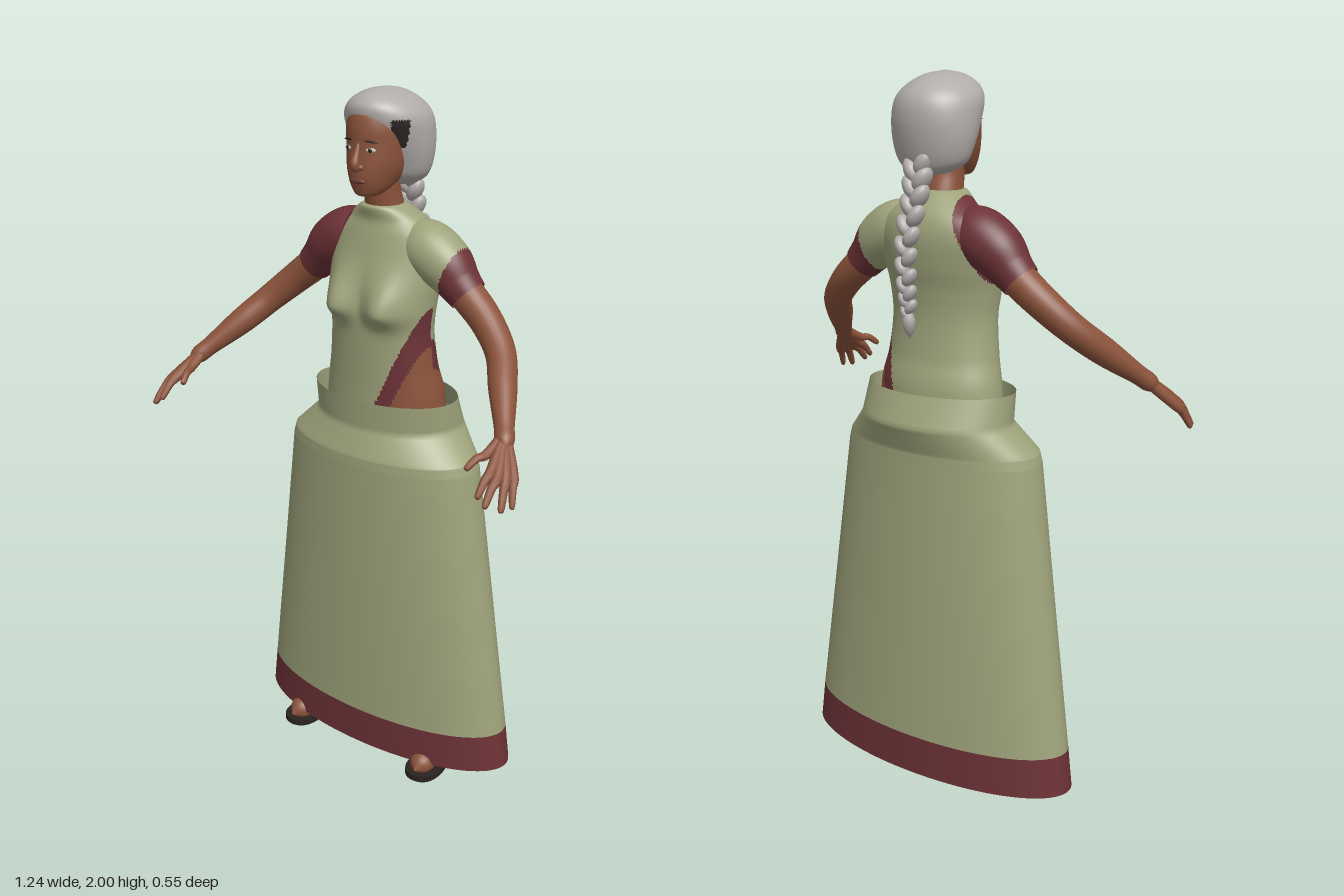
import * as THREE from 'three';

const mat = (name, color, side = THREE.FrontSide) => {
  const m = new THREE.MeshStandardMaterial({ color, side });
  m.name = name;
  return m;
};
const V = (x, y, z) => new THREE.Vector3(x, y, z);

// Closed tube of rows x cols from a point rule; paint(point) picks the material of each face.
function surface(name, point, rows, cols, mats, paint = () => 0) {
  const pos = [], buckets = mats.map(() => []);
  for (let i = 0; i <= rows; i++)
    for (let j = 0; j < cols; j++) pos.push(...point(i / rows, (j / cols) * Math.PI * 2).toArray());
  const at = (k) => V(pos[k * 3], pos[k * 3 + 1], pos[k * 3 + 2]);
  for (let i = 0; i < rows; i++)
    for (let j = 0; j < cols; j++) {
      const a = i * cols + j, b = i * cols + ((j + 1) % cols), c = a + cols, d = b + cols;
      for (const tri of [[a, b, d], [a, d, c]]) {
        const mid = at(tri[0]).add(at(tri[1])).add(at(tri[2])).divideScalar(3);
        buckets[paint(mid)].push(...tri);
      }
    }
  const g = new THREE.BufferGeometry();
  g.setAttribute('position', new THREE.Float32BufferAttribute(pos, 3));
  g.setIndex(buckets.flat());
  let start = 0;
  buckets.forEach((b, k) => { g.addGroup(start, b.length, k); start += b.length; });
  g.computeVertexNormals();
  const mesh = new THREE.Mesh(g, mats.length > 1 ? mats : mats[0]);
  mesh.name = name;
  return mesh;
}

// Upright loft through oval sections [y, halfWidth, frontZ, backZ].
function loft(name, sections, rows, cols, mats, { paint, straight, shape } = {}) {
  const n = sections.length - 1;
  const a = new THREE.CatmullRomCurve3(sections.map((s) => V(s[1], s[0], 0)), false, 'catmullrom');
  const b = new THREE.CatmullRomCurve3(sections.map((s) => V(s[2], s[3], 0)), false, 'catmullrom');
  const sample = (curve, u) => {
    if (!straight) return curve.getPoint(u);
    const i = Math.min(Math.floor(u * n), n - 1);
    return curve.points[i].clone().lerp(curve.points[i + 1], u * n - i);
  };
  return surface(name, (u, t) => {
    const p = sample(a, u), q = sample(b, u);
    const v = V(p.x * Math.sin(t), p.y, (q.x + q.y) / 2 + ((q.x - q.y) / 2) * Math.cos(t));
    if (shape) shape(v);
    return v;
  }, rows, cols, mats, paint);
}

// Round sweep through points [x, y, z, radius], mirrored by side.
function sweep(name, pts, side, rows, cols, mats, paint) {
  const curve = new THREE.CatmullRomCurve3(pts.map((p) => V(p[0] * side, p[1], p[2])), false, 'catmullrom');
  const radius = new THREE.CatmullRomCurve3(pts.map((p) => V(p[3], 0, 0)), false, 'catmullrom');
  curve.getUtoTmapping = (u) => u;
  const f = curve.computeFrenetFrames(rows, false);
  return surface(name, (u, t) => {
    const i = Math.round(u * rows), r = Math.max(radius.getPoint(u).x, 0.0005);
    return curve.getPoint(u).addScaledVector(f.normals[i], r * Math.cos(t)).addScaledVector(f.binormals[i], r * Math.sin(t));
  }, rows, cols, mats, paint);
}

function blob(name, material, center, size, rot = [0, 0, 0]) {
  const m = new THREE.Mesh(new THREE.SphereGeometry(1, 20, 14), material);
  m.name = name;
  m.position.set(...center);
  m.scale.set(...size);
  m.rotation.set(...rot);
  return m;
}

export function createModel() {
  const model = new THREE.Group();
  model.name = 'womanInDrapedDress';
  const green = mat('sageCloth', 0x9ea37b, THREE.DoubleSide);
  const maroon = mat('maroonCloth', 0x6c3236, THREE.DoubleSide);
  const skin = mat('skin', 0x8b533b);
  const hair = mat('greyHair', 0xb1acaa);
  const dark = mat('darkHair', 0x2c2624);
  const sole = mat('sandalSole', 0x2a2320);
  const lip = mat('lips', 0x6e3d30);
  const white = mat('eyeWhite', 0xc9c0b8);

  // Skirt with a wide hem band and a gathered waist
  model.add(loft('skirtHem', [[0.04, 0.445, 0.07, -0.275], [0.155, 0.43, 0.071, -0.273]], 4, 96, [maroon], { straight: true }));
  model.add(loft('skirt', [
    [0.155, 0.43, 0.071, -0.273], [0.575, 0.37, 0.076, -0.26], [0.97, 0.314, 0.08, -0.247],
    [1.0, 0.305, 0.079, -0.247], [1.075, 0.232, 0.05, -0.274], [1.16, 0.228, 0.055, -0.235],
  ], 40, 96, [green], { straight: true }));

  // Torso with a diagonal drape over the left shoulder and a short blouse beneath
  const drape = (p) => {
    const edge = p.z > -0.08 ? 0.05 + 0.43 * (p.y - 1.16) : 0.09 + 0.4 * (p.y - 1.16);
    if (p.x > edge) return p.y > 1.32 || p.x < edge + 0.045 ? 1 : 2;
    return p.y > 1.38 && p.x < -0.08 - 0.4 * (1.675 - p.y) ? 1 : 0;
  };
  const bust = (v) => {
    if (v.z < -0.06) return;
    const d = ((Math.abs(v.x) - 0.08) / 0.055) ** 2 + ((v.y - 1.42) / (v.y > 1.42 ? 0.085 : 0.04)) ** 2;
    v.z += 0.048 * Math.exp(-d);
  };
  model.add(loft('torso', [
    [1.0, 0.2, 0.03, -0.21], [1.16, 0.188, 0.028, -0.21], [1.25, 0.17, 0.03, -0.19], [1.35, 0.16, 0.033, -0.18],
    [1.43, 0.165, 0.03, -0.185], [1.5, 0.174, 0.02, -0.2], [1.57, 0.178, 0.003, -0.208],
    [1.62, 0.16, -0.01, -0.2], [1.655, 0.115, -0.018, -0.18], [1.69, 0.064, -0.012, -0.145], [1.695, 0.04, -0.03, -0.12],
  ], 110, 128, [green, maroon, skin], { paint: drape, shape: bust }));

  // Arms, sleeves and hands
  const fingers = [
    ['littleFinger', [0.588, 1.135, 0.165, 0.014], [0.615, 1.07, 0.208, 0.007]],
    ['ringFinger', [0.58, 1.135, 0.185, 0.015], [0.602, 1.068, 0.238, 0.008]],
    ['middleFinger', [0.566, 1.14, 0.198, 0.015], [0.574, 1.083, 0.268, 0.008]],
    ['indexFinger', [0.548, 1.15, 0.2, 0.015], [0.549, 1.1, 0.264, 0.008]],
    ['thumb', [0.515, 1.175, 0.175, 0.013], [0.493, 1.15, 0.232, 0.008]],
  ];
  for (const side of [1, -1]) {
    const label = side > 0 ? 'left' : 'right';
    model.add(sweep(label + 'Sleeve', [
      [0.07, 1.6, -0.1, 0.06], [0.13, 1.582, -0.1, 0.078], [0.19, 1.547, -0.1, 0.075],
      [0.235, 1.503, -0.1, 0.06], [0.265, 1.474, -0.1, 0.053],
    ], side, 48, 48, [green, maroon], (p) => (side > 0 && p.x < 0.24 - 0.35 * (1.59 - p.y) ? 0 : 1)));
    model.add(sweep(label + 'Arm', [
      [0.2, 1.535, -0.1, 0.045], [0.26, 1.478, -0.1, 0.048], [0.33, 1.42, -0.09, 0.045], [0.4, 1.355, -0.055, 0.041],
      [0.455, 1.29, 0.015, 0.038], [0.51, 1.225, 0.09, 0.027], [0.535, 1.195, 0.125, 0.024], [0.55, 1.175, 0.15, 0.0],
    ], side, 48, 24, [skin]));
    for (const [name, knuckle, tip] of fingers) {
      const bend = knuckle.map((k, i) => (k + tip[i]) / 2 + (i === 1 ? 0.008 : 0));
      const end = tip.map((k, i) => (i === 3 ? 0 : k + (k - bend[i]) * 0.12));
      model.add(sweep(label + name, [[0.525, 1.208, 0.11, 0.017], knuckle, bend, tip, end], side, 20, 10, [skin]));
    }
  }

  // Neck and head
  model.add(sweep('neck', [[0, 1.62, -0.09, 0.062], [0, 1.68, -0.08, 0.054], [0, 1.73, -0.068, 0.05], [0, 1.8, -0.06, 0.05]], 1, 16, 32, [skin]));
  model.add(loft('head', [
    [1.724, 0.006, 0.006, -0.01], [1.728, 0.03, 0.027, -0.04], [1.745, 0.05, 0.036, -0.08], [1.775, 0.067, 0.044, -0.13],
    [1.81, 0.08, 0.044, -0.16], [1.86, 0.088, 0.04, -0.18], [1.91, 0.088, 0.038, -0.18],
    [1.95, 0.074, 0.02, -0.16], [1.98, 0.02, -0.04, -0.1],
  ], 48, 48, [skin]));
  model.add(sweep('nose', [[0, 1.87, 0.033, 0.006], [0, 1.84, 0.044, 0.009], [0, 1.815, 0.052, 0.013], [0, 1.803, 0.043, 0.012], [0, 1.798, 0.036, 0]], 1, 20, 16, [skin]));
  model.add(blob('mouth', lip, [0, 1.77, 0.041], [0.026, 0.008, 0.009]));
  for (const s of [1, -1]) {
    model.add(blob('nostrilWing', skin, [s * 0.012, 1.807, 0.042], [0.009, 0.008, 0.01]));
    model.add(blob('eye', white, [s * 0.036, 1.852, 0.03], [0.014, 0.006, 0.005], [0, s * 0.35, 0]));
    model.add(blob('iris', dark, [s * 0.036, 1.852, 0.033], [0.006, 0.006, 0.004]));
    model.add(blob('eyebrow', dark, [s * 0.037, 1.874, 0.03], [0.019, 0.003, 0.004], [0, s * 0.35, -s * 0.1]));
  }

  // Hair cap with a dark lock at the left temple
  model.add(loft('hairCap', [
    [1.735, 0.015, -0.12, -0.16], [1.745, 0.06, -0.085, -0.185], [1.77, 0.098, -0.05, -0.2], [1.82, 0.116, -0.025, -0.214],
    [1.88, 0.121, 0.005, -0.222], [1.93, 0.115, 0.027, -0.214], [1.965, 0.088, 0.025, -0.184],
    [1.99, 0.045, -0.01, -0.135], [2.0, 0.002, -0.065, -0.07],
  ], 72, 96, [hair, dark], {
    paint: (p) => (p.x > 0.075 && p.z > -0.045 && p.y > 1.845 + 0.15 * Math.abs(p.z) && p.y < 1.928 ? 1 : 0),
  }));

  // Braid of overlapping slanted locks, ending in a tuft
  const braid = new THREE.CatmullRomCurve3([V(0, 1.77, -0.185), V(0, 1.68, -0.205), V(0.005, 1.57, -0.236), V(0.005, 1.46, -0.24), V(0.005, 1.38, -0.23)]);
  for (let i = 0; i < 18; i++) {
    const u = i / 17, p = braid.getPoint(u), s = i % 2 ? 1 : -1, k = 1 - 0.45 * u;
    model.add(blob('braidLock', hair, [p.x + s * 0.017 * k, p.y, p.z], [0.023 * k, 0.04 * k, 0.03 * k], [0.15, 0, -s * 0.55]));
  }
  model.add(sweep('braidTuft', [[0.005, 1.385, -0.23, 0.01], [0.005, 1.36, -0.23, 0.018], [0.005, 1.335, -0.228, 0.014], [0.005, 1.31, -0.225, 0]], 1, 16, 12, [hair]));

  // Legs, feet and sandals
  const outline = new THREE.Shape();
  outline.moveTo(0, -0.085);
  outline.bezierCurveTo(0.065, -0.085, 0.06, 0.0, 0.038, 0.07);
  outline.bezierCurveTo(0.045, 0.2, -0.045, 0.2, -0.038, 0.07);
  outline.bezierCurveTo(-0.06, 0.0, -0.065, -0.085, 0, -0.085);
  for (const s of [1, -1]) {
    model.add(sweep('leg', [[0.1, 1.05, -0.09, 0.07], [0.14, 0.75, -0.09, 0.075], [0.17, 0.5, -0.09, 0.055], [0.195, 0.3, -0.11, 0.052], [0.215, 0.1, -0.125, 0.034], [0.22, 0.045, -0.13, 0.034]], s, 32, 20, [skin]));
    const foot = sweep('foot', [[0.222, 0.045, -0.172, 0], [0.222, 0.048, -0.16, 0.026], [0.224, 0.055, -0.11, 0.034], [0.232, 0.042, -0.02, 0.036], [0.238, 0.034, 0.045, 0.034], [0.241, 0.03, 0.078, 0]], s, 28, 20, [skin]);
    const y = foot.geometry.attributes.position;
    for (let i = 0; i < y.count; i++) y.setY(i, Math.max(y.getY(i), 0.018));
    foot.geometry.computeVertexNormals();
    model.add(foot);
    const pad = new THREE.Mesh(new THREE.ExtrudeGeometry(outline, { depth: 0.019, bevelEnabled: false, curveSegments: 16 }), sole);
    pad.name = 'sandalSole';
    pad.rotation.set(-Math.PI / 2, 0, s * 0.06);
    pad.position.set(s * 0.236, 0, 0);
    model.add(pad);
    const strap = new THREE.Mesh(new THREE.TorusGeometry(0.039, 0.005, 8, 24, Math.PI), sole);
    strap.name = 'sandalStrap';
    strap.position.set(s * 0.236, 0.028, 0.0);
    model.add(strap);
  }
  return model;
}
